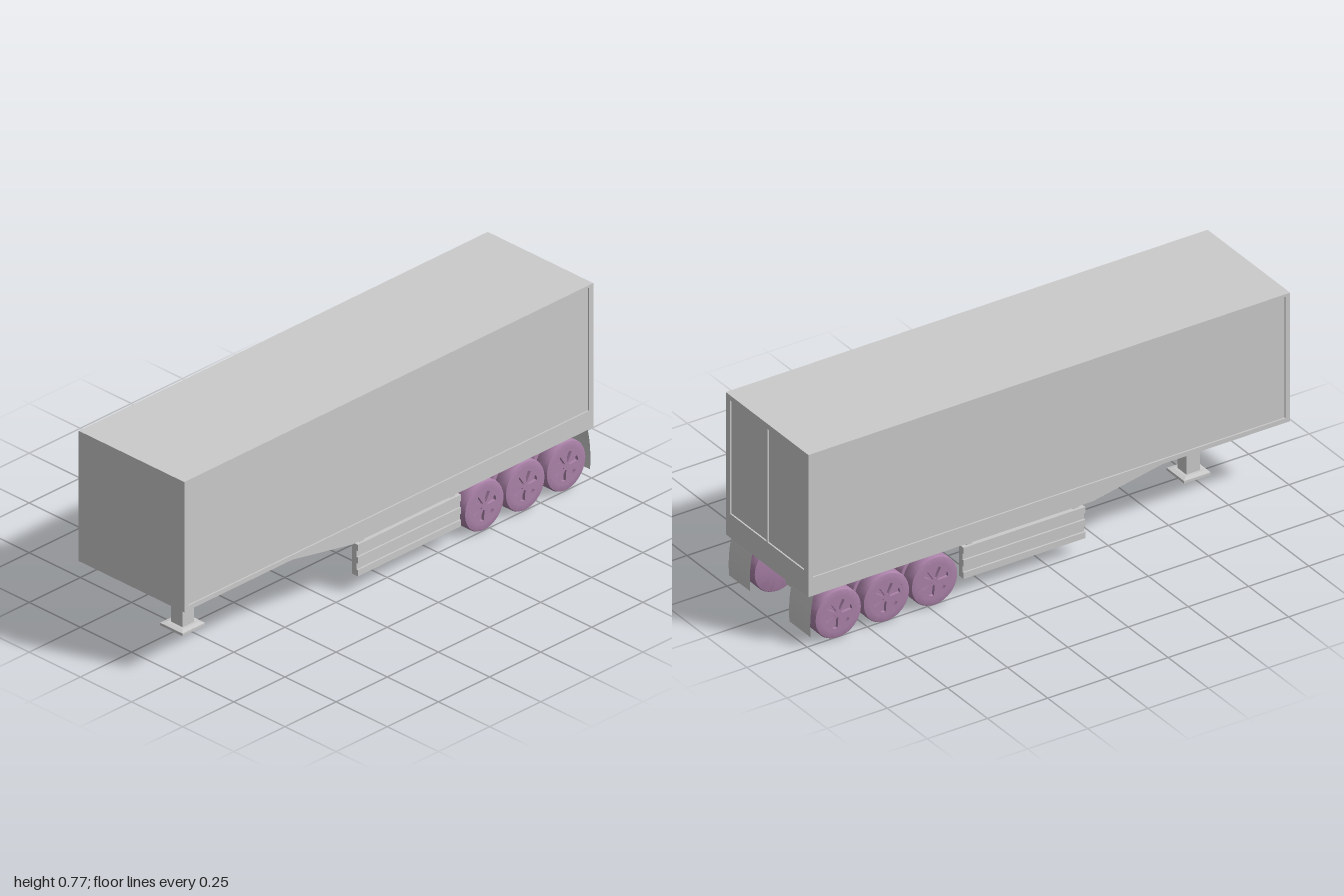
import * as THREE from 'three';
import { toCreasedNormals } from 'three/addons/utils/BufferGeometryUtils.js';

const grey = new THREE.MeshStandardMaterial({ color: 0xcccccc });
const thinGrey = new THREE.MeshStandardMaterial({ color: 0xcccccc, side: THREE.DoubleSide });
const purple = new THREE.MeshStandardMaterial({ color: 0xab82a9 });

const shapeOf = (pts) => new THREE.Shape(pts.map(([a, b]) => new THREE.Vector2(a, b)));
const rectangle = (a0, a1, b0, b1) => shapeOf([[a0, b0], [a1, b0], [a1, b1], [a0, b1]]);
const extrude = (shape, depth) =>
  new THREE.ExtrudeGeometry(shape, { depth, bevelEnabled: false, curveSegments: 24 });

function add(parent, name, geometry, material = grey) {
  const mesh = new THREE.Mesh(geometry, material);
  mesh.name = name;
  parent.add(mesh);
  return mesh;
}

// Box given by its limits on each axis
function box(parent, name, [x0, x1], [y0, y1], [z0, z1]) {
  const mesh = add(parent, name, new THREE.BoxGeometry(x1 - x0, y1 - y0, z1 - z0));
  mesh.position.set((x0 + x1) / 2, (y0 + y1) / 2, (z0 + z1) / 2);
  return mesh;
}

// Side profile (z, y) extruded across x from x0 to x1
function across(shape, x0, x1) {
  return extrude(shape, x1 - x0).rotateY(-Math.PI / 2).translate(x1, 0, 0);
}

const bodyProfile = (rear) =>
  shapeOf([[rear, 0.205], [0.18, 0.205], [0.47, 0.26], [1, 0.26], [1, 0.775], [rear, 0.775]]);

function makeBody() {
  const body = new THREE.Group();
  body.name = 'cargoBody';
  add(body, 'cargoBox', across(bodyProfile(-0.994), -0.252, 0.252));

  // Raised borders around the recessed side panels
  for (const [name, x0] of [['leftSideFrame', 0.252], ['rightSideFrame', -0.258]]) {
    const frame = bodyProfile(-1);
    frame.holes.push(rectangle(-0.98, 0.98, 0.278, 0.765));
    add(body, name, across(frame, x0, x0 + 0.006));
  }

  // Rear frame with two recessed doors
  const rear = rectangle(-0.252, 0.252, 0.205, 0.775);
  rear.holes.push(rectangle(-0.23, -0.003, 0.3, 0.755), rectangle(0.003, 0.23, 0.3, 0.755));
  add(body, 'rearDoorFrame', extrude(rear, 0.006).translate(0, 0, -1));
  return body;
}

// Wheel lying along x, outer face towards +x
const R = 0.0965;
const tyreProfile = [[0, -0.03], [0.088, -0.03], [0.094, -0.028], [R, -0.023], [R, 0.023],
  [0.094, 0.028], [0.088, 0.03], [0.07, 0.03], [0.07, 0.018], [0, 0.018]];
const tyreGeometry = toCreasedNormals(
  new THREE.LatheGeometry(tyreProfile.map(([r, y]) => new THREE.Vector2(r, y)), 40)
    .rotateZ(-Math.PI / 2), 0.6);

function hubGeometry() {
  const disc = new THREE.Shape().absarc(0, 0, 0.07, 0, Math.PI * 2);
  const slots = 6;
  for (let i = 0; i < slots; i++) {
    const a = (i / slots) * Math.PI * 2 + 0.25;
    const slot = [[0.014, -0.003], [0.054, -0.011], [0.057, 0], [0.054, 0.011], [0.014, 0.003]];
    disc.holes.push(shapeOf(slot.map(([u, v]) =>
      [u * Math.cos(a) - v * Math.sin(a), u * Math.sin(a) + v * Math.cos(a)])));
  }
  return toCreasedNormals(extrude(disc, 0.012).rotateY(Math.PI / 2).translate(0.018, 0, 0), 0.6);
}

function makeAxle(z, hub) {
  const axle = new THREE.Group();
  axle.name = 'axleAssembly';
  axle.position.set(-0.003, R + 0.001, z);
  add(axle, 'axle', new THREE.CylinderGeometry(0.008, 0.008, 0.4, 16).rotateZ(Math.PI / 2));
  box(axle, 'suspensionBlock', [-0.03, 0.04], [-0.0125, 0.109], [-0.025, 0.025]);
  for (const side of [1, -1]) {
    for (const [name, x] of [['outerWheel', 0.225], ['innerWheel', 0.155]]) {
      const wheel = new THREE.Group();
      wheel.name = name;
      wheel.position.x = side * x;
      if (side < 0) wheel.rotation.y = Math.PI;
      add(wheel, 'tyre', tyreGeometry, purple);
      add(wheel, 'slottedHub', hub, purple);
      axle.add(wheel);
    }
  }
  return axle;
}

// Ribbed side guard hung below the body
function makeSideGuard(side) {
  const guard = new THREE.Group();
  guard.name = side > 0 ? 'leftSideGuard' : 'rightSideGuard';
  const span = (a, b) => (side > 0 ? [a, b] : [-b, -a]);
  const length = [-0.355, 0.15];
  box(guard, 'guardPanel', span(0.228, 0.25), [0.067, 0.192], length);
  for (const y of [0.067, 0.117, 0.167]) {
    box(guard, 'guardRib', span(0.25, 0.257), [y, y + 0.025], length);
  }
  for (const z of [0.12, -0.325]) {
    box(guard, 'guardHanger', span(0.236, 0.246), [0.19, 0.21], [z - 0.011, z + 0.011]);
  }
  return guard;
}

// Curved flap behind the wheels
function mudFlap(x0, x1) {
  const flap = new THREE.PlaneGeometry(x1 - x0, 0.165, 1, 10);
  const p = flap.attributes.position;
  for (let i = 0; i < p.count; i++) {
    const t = 0.5 - p.getY(i) / 0.165;
    p.setZ(i, -0.978 - 0.012 * t - 0.026 * t * (1 - t));
  }
  flap.computeVertexNormals();
  return flap.translate((x0 + x1) / 2, 0.1225, 0);
}

function makeLandingLeg() {
  const leg = new THREE.Group();
  leg.name = 'landingLeg';
  leg.position.z = 0.75;
  box(leg, 'legColumn', [-0.028, 0.028], [0.018, 0.262], [-0.028, 0.028]);
  // Foot: hollow rim below a bevelled plate
  const rim = rectangle(-0.055, 0.055, -0.055, 0.055);
  rim.holes.push(rectangle(-0.04, 0.04, -0.04, 0.04));
  add(leg, 'footRim', extrude(rim, 0.01).rotateX(-Math.PI / 2).translate(0, 0.009, 0));
  const plate = new THREE.CylinderGeometry(0.038 * Math.SQRT2, 0.055 * Math.SQRT2, 0.004, 4)
    .rotateY(Math.PI / 4).toNonIndexed();
  plate.computeVertexNormals();
  add(leg, 'footPlate', plate.translate(0, 0.021, 0));
  return leg;
}

export function createModel() {
  const model = new THREE.Group();
  model.name = 'semiTrailer';
  model.add(makeBody(), makeLandingLeg());
  const hub = hubGeometry();
  for (const z of [-0.475, -0.675, -0.875]) model.add(makeAxle(z, hub));
  for (const side of [1, -1]) model.add(makeSideGuard(side));
  add(model, 'leftMudFlap', mudFlap(0.12, 0.252), thinGrey);
  add(model, 'rightMudFlap', mudFlap(-0.257, -0.125), thinGrey);
  return model;
}
